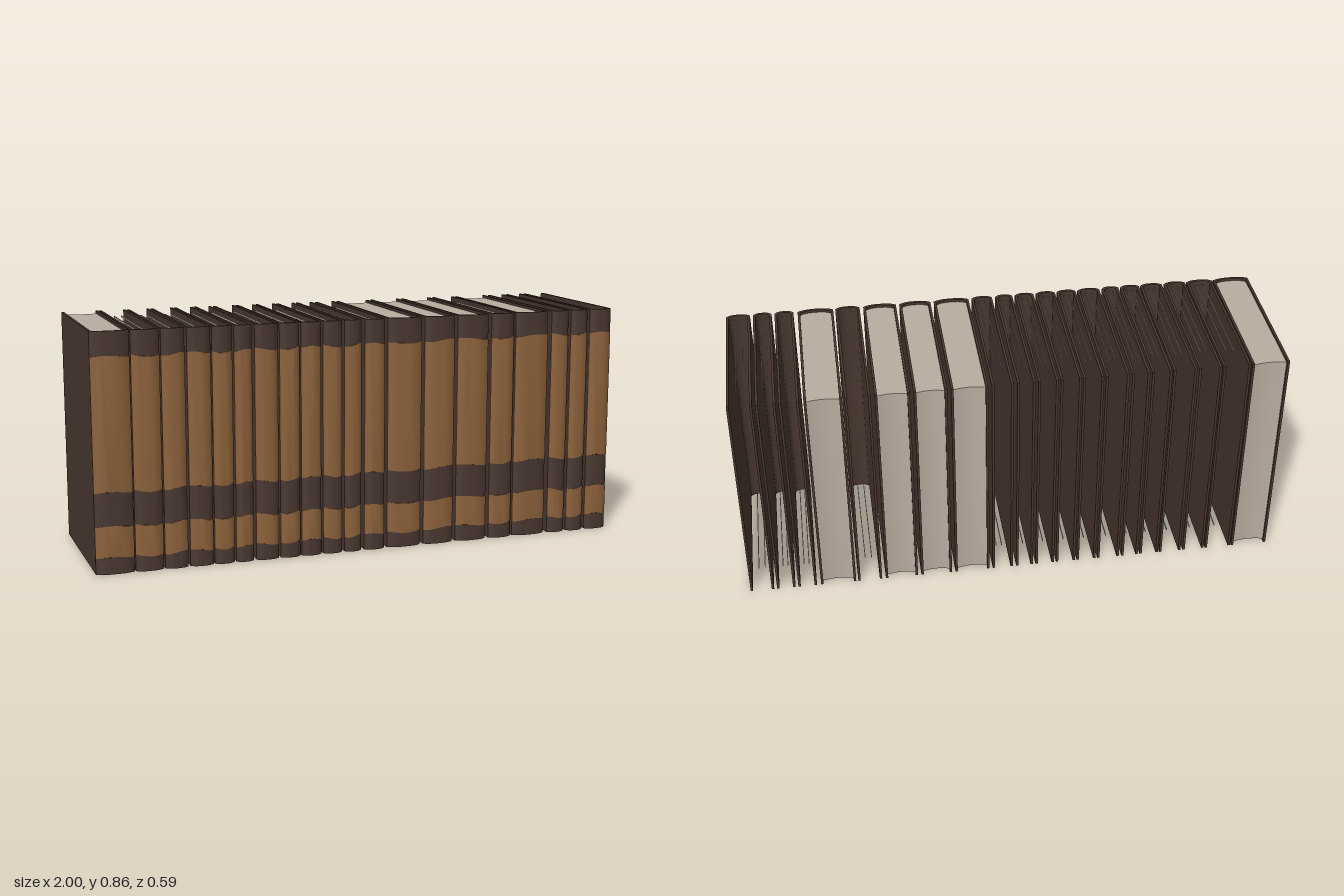
import * as THREE from 'three';
import { toCreasedNormals } from 'three/addons/utils/BufferGeometryUtils.js';

const H = 0.86, BACK = -0.294, EDGE = 0.279, BULGE = 0.014, T = 0.009;

// left and right edge of every book along the shelf
const BOOKS = [
  [-1, -0.862], [-0.858, -0.757], [-0.752, -0.668], [-0.66, -0.575], [-0.57, -0.497],
  [-0.49, -0.425], [-0.415, -0.33], [-0.323, -0.249], [-0.243, -0.168], [-0.16, -0.088],
  [-0.078, -0.013], [0, 0.078], [0.09, 0.222], [0.235, 0.353], [0.366, 0.489],
  [0.503, 0.594], [0.602, 0.735], [0.751, 0.821], [0.832, 0.901], [0.912, 1],
];
const FILLED = [0, 12, 13, 14, 16]; // thick books with a solid page block

// rounded spine curve from x0 to x1 as [x, z] points
function spineCurve(x0, x1, offset, n = 14) {
  const pts = [];
  for (let i = 0; i <= n; i++) {
    const u = -Math.cos((i / n) * Math.PI);
    const z = EDGE + offset + BULGE * (1 - Math.abs(u) ** 3);
    pts.push([x0 + ((u + 1) / 2) * (x1 - x0), z]);
  }
  return pts;
}

// extrude an [x, z] outline upward from y0 to y1
function upright(points, y0, y1) {
  const shape = new THREE.Shape(points.map(([x, z]) => new THREE.Vector2(x, -z)));
  const g = new THREE.ExtrudeGeometry(shape, { depth: y1 - y0, bevelEnabled: false });
  g.rotateX(-Math.PI / 2).translate(0, y0, 0);
  return g;
}

export function createModel() {
  const leather = new THREE.MeshStandardMaterial({ color: 0x48362f });
  leather.name = 'dark leather';
  const tan = new THREE.MeshStandardMaterial({ color: 0x8c613a });
  tan.name = 'tan leather';
  const paper = new THREE.MeshStandardMaterial({ color: 0xb9ada1 });
  paper.name = 'paper';

  const model = new THREE.Group();
  model.name = 'bookRow';

  BOOKS.forEach(([x0, x1], i) => {
    const book = new THREE.Group();
    book.name = 'book' + (i + 1);
    const add = (name, geometry, material) => {
      const mesh = new THREE.Mesh(geometry, material);
      mesh.name = name;
      book.add(mesh);
    };

    // U-shaped cover: two boards joined by a rounded spine
    const cover = [
      [x0, BACK], ...spineCurve(x0, x1, 0), [x1, BACK],
      [x1 - T, BACK], ...spineCurve(x0 + T, x1 - T, -T).reverse(), [x0 + T, BACK],
    ];
    add('cover', toCreasedNormals(upright(cover, 0, H), 0.5), leather);

    // tan spine panels with slightly uneven borders
    for (const [y0, y1] of [[0.058, 0.17], [0.292, 0.77]]) {
      const panel = [...spineCurve(x0, x1, 0.002), ...spineCurve(x0, x1, -0.002).reverse()];
      const g = upright(panel, y0, y1);
      const p = g.attributes.position;
      for (let k = 0; k < p.count; k++) {
        const u = (p.getX(k) - x0) / (x1 - x0);
        p.setY(k, p.getY(k) + 0.005 * Math.sin(u * 4 + i * 2.3));
      }
      add('spinePanel', toCreasedNormals(g, 0.5), tan);
    }

    if (FILLED.includes(i)) {
      // page block with a hollowed fore edge
      const a = x0 + T, b = x1 - T, fore = [];
      for (let k = 0; k <= 8; k++) {
        const u = 1 - k / 4;
        fore.push([(a + b) / 2 + (u * (b - a)) / 2, -0.277 - 0.008 * u * u]);
      }
      const pages = [...spineCurve(a, b, -T - 0.001), ...fore];
      add('pages', toCreasedNormals(upright(pages, 0.01, H - 0.01), 0.5), paper);
    } else {
      // loose paper slivers at head and tail of the hollow books
      for (const y of [0.012, H - 0.012]) {
        for (const s of [0.35, 0.62]) {
          const g = new THREE.BoxGeometry(0.003, 0.006, 0.45);
          g.translate(x0 + s * (x1 - x0), y, 0.045);
          add('paperSliver', g, paper);
        }
      }
    }
    model.add(book);
  });
  return model;
}
